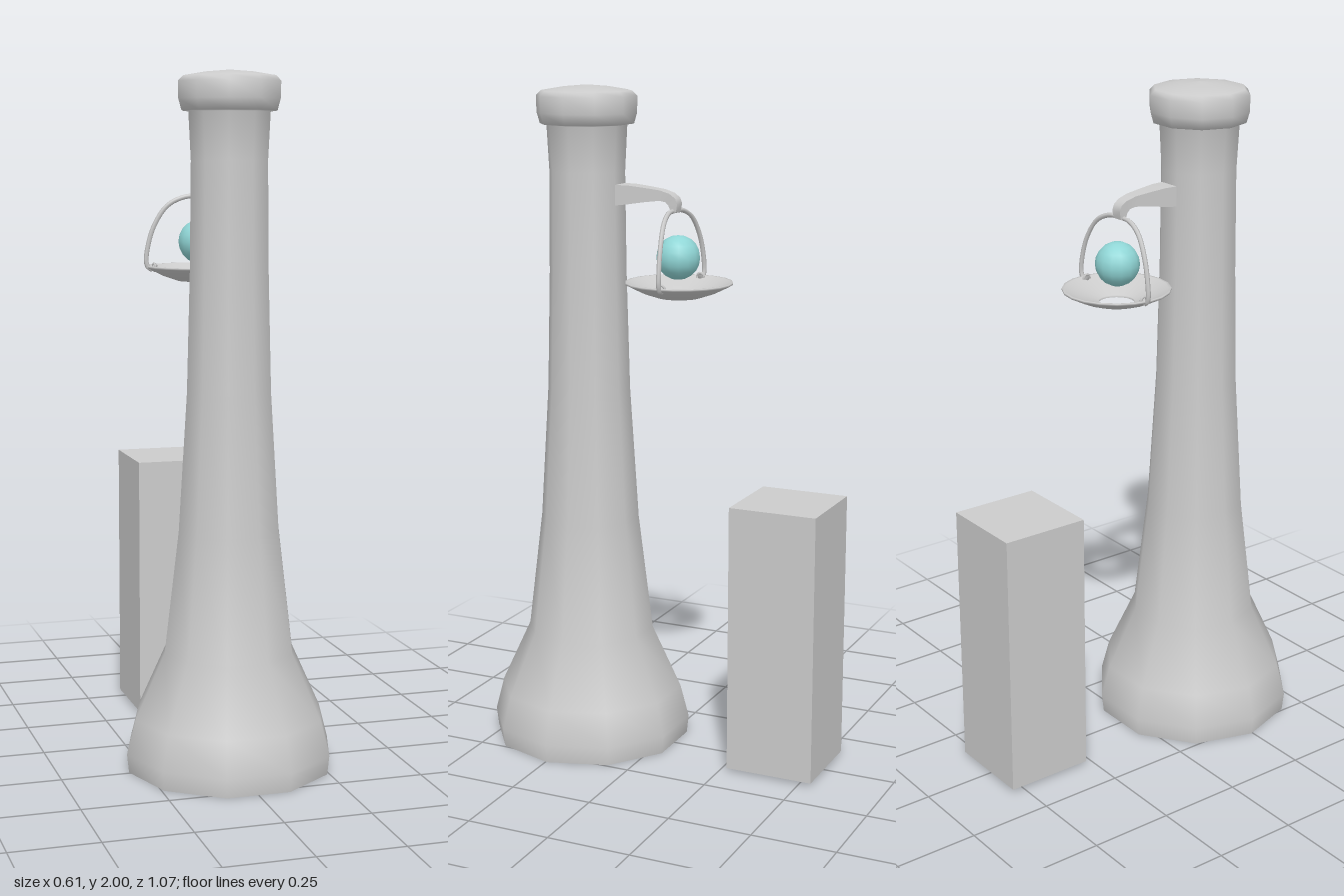
import * as THREE from 'three';

const grey = new THREE.MeshStandardMaterial({ color: 0xcccccc });
const greyOpen = new THREE.MeshStandardMaterial({ color: 0xcccccc, side: THREE.DoubleSide });
const glass = new THREE.MeshStandardMaterial({ color: 0x90d6d6 });

const TOWER_Z = 0.245;
const LAMP_Z = -0.053;

function part(name, geometry, material = grey) {
  const mesh = new THREE.Mesh(geometry, material);
  mesh.name = name;
  return mesh;
}

function lathe(profile, sides) {
  const points = profile.map(([r, y]) => new THREE.Vector2(r, y));
  return new THREE.LatheGeometry(points, sides, Math.PI / 2);
}

// Tapering bracket: a box whose cross-sections follow [topZ, topY, bottomZ, bottomY, halfWidth]
function armGeometry() {
  const sections = [
    [0.165, 1.715, 0.165, 1.652, 0.036],
    [0.1, 1.715, 0.1, 1.66, 0.031],
    [0.05, 1.71, 0.05, 1.668, 0.026],
    [0.0, 1.704, 0.0, 1.674, 0.021],
    [-0.03, 1.695, -0.018, 1.67, 0.019],
    [-0.048, 1.682, -0.027, 1.66, 0.018],
    [-0.054, 1.665, -0.032, 1.648, 0.018],
    [-0.05, 1.642, -0.034, 1.638, 0.017],
  ];
  const geometry = new THREE.BoxGeometry(2, 1, 1, 1, 1, sections.length - 1);
  const p = geometry.attributes.position;
  for (let i = 0; i < p.count; i++) {
    const s = sections[Math.round((0.5 - p.getZ(i)) * (sections.length - 1))];
    const top = p.getY(i) > 0;
    p.setXYZ(i, p.getX(i) * s[4], top ? s[1] : s[3], top ? s[0] : s[2]);
  }
  geometry.computeVertexNormals();
  return geometry;
}

export function createModel() {
  const model = new THREE.Group();
  model.name = 'lampTower';

  // Hollow ten-sided post with flared foot and rounded head
  const post = part('post', lathe([
    [0.3, 0], [0.306, 0.055], [0.28, 0.155], [0.193, 0.345], [0.15, 0.7],
    [0.125, 1.1], [0.116, 1.45], [0.113, 1.75], [0.12, 1.885], [0.14, 1.888],
    [0.149, 1.92], [0.15, 1.968], [0.135, 1.983], [0.07, 1.994], [0, 2],
  ], 10), greyOpen);
  post.position.z = TOWER_Z;
  model.add(post);

  // Bracket reaching back from the post
  model.add(part('arm', armGeometry()));

  // Hanging lamp: dish with a centre hole, globe, handle
  const lamp = new THREE.Group();
  lamp.name = 'lamp';
  const dish = part('dish', lathe([
    [0.052, 1.394], [0.065, 1.394], [0.112, 1.41], [0.158, 1.433],
    [0.158, 1.439], [0.15, 1.439], [0.11, 1.419], [0.052, 1.4], [0.052, 1.394],
  ], 20), greyOpen);
  dish.position.z = LAMP_Z;
  const globe = part('globe', new THREE.SphereGeometry(0.065, 14, 10), glass);
  globe.position.set(0, 1.51, -0.05);
  lamp.add(dish, globe);

  // Each half of the handle curls under the rim and ends in a small eyelet
  for (const side of [-1, 1]) {
    const path = new THREE.CatmullRomCurve3([
      [0, 1.645, -0.038], [0.05, 1.642, -0.042], [0.1, 1.617, -0.05],
      [0.14, 1.555, -0.058], [0.16, 1.48, -0.062], [0.161, 1.447, -0.062],
      [0.152, 1.43, -0.061], [0.138, 1.432, -0.06], [0.134, 1.444, -0.06],
    ].map(([x, y, z]) => new THREE.Vector3(side * x, y, z)));
    lamp.add(part('handle', new THREE.TubeGeometry(path, 28, 0.007, 6, false), greyOpen));
    const eyelet = part('eyelet', new THREE.TorusGeometry(0.011, 0.004, 5, 10));
    eyelet.position.set(side * 0.138, 1.436, -0.06);
    eyelet.rotation.y = Math.PI / 2;
    lamp.add(eyelet);
  }
  model.add(lamp);

  // Free-standing block behind the post
  const block = part('block', new THREE.BoxGeometry(0.266, 0.804, 0.266));
  block.position.set(0, 0.412, -0.405);
  model.add(block);

  return model;
}
